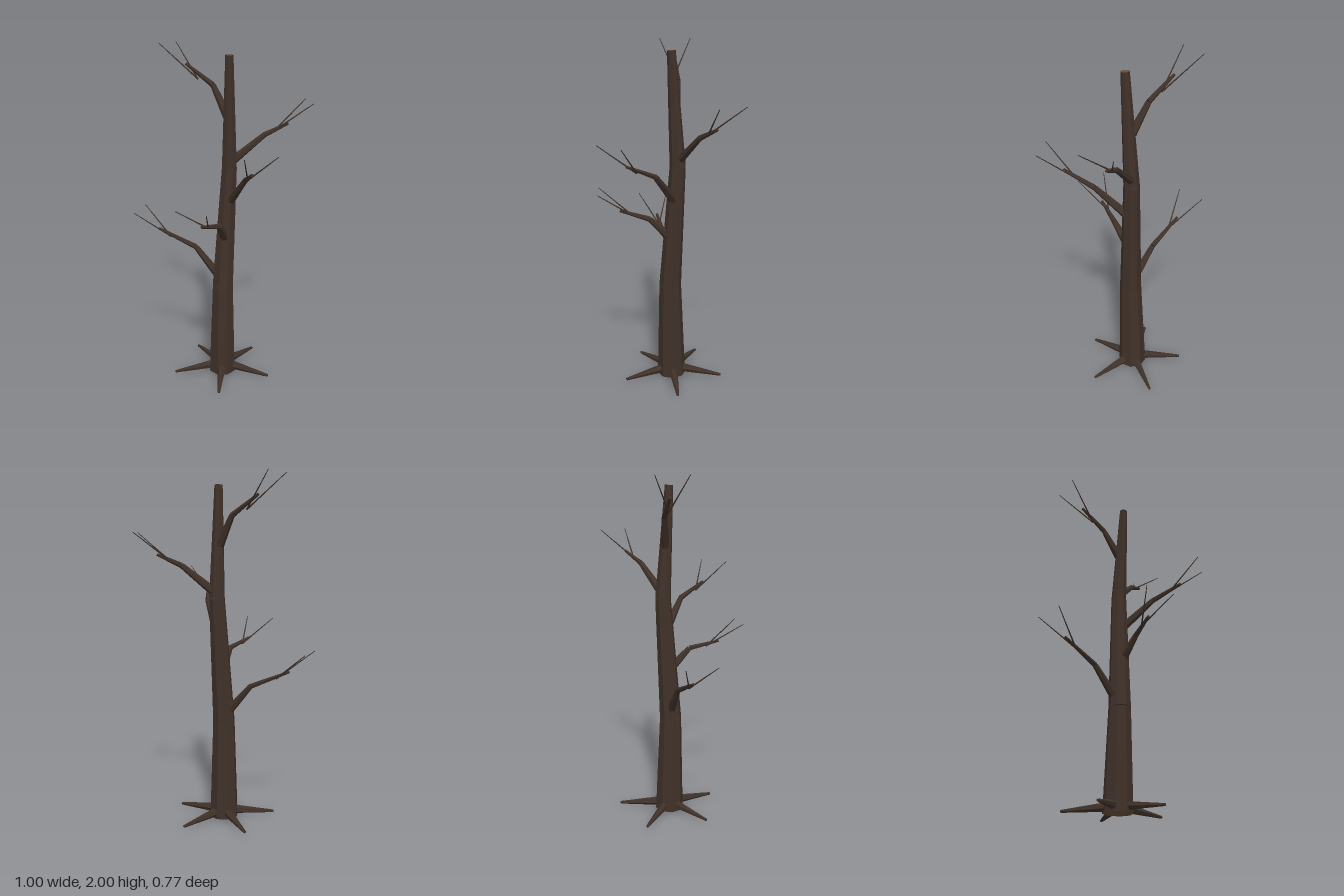
import * as THREE from 'three';

const bark = new THREE.MeshStandardMaterial({ color: 0x3f3129, flatShading: true });
bark.name = 'bark';
const cutWood = new THREE.MeshStandardMaterial({ color: 0x6b5238, flatShading: true });
cutWood.name = 'cutWood';

// Tapered limb running from point a to point b
function limb(name, a, b, ra, rb, sides, top = bark, bottom = bark) {
  const from = new THREE.Vector3(...a);
  const dir = new THREE.Vector3(...b).sub(from);
  const length = dir.length();
  const geo = new THREE.CylinderGeometry(rb, ra, length, sides);
  geo.translate(0, length / 2, 0);
  const mesh = new THREE.Mesh(geo, [bark, top, bottom]);
  mesh.quaternion.setFromUnitVectors(new THREE.Vector3(0, 1, 0), dir.normalize());
  mesh.position.copy(from);
  mesh.name = name;
  return mesh;
}

// Two-part crooked branch with a pair of twigs sprouting before its tip
function branch({ start, elbow, tip, fork, twigs }) {
  const group = new THREE.Group();
  group.name = 'branch';
  group.add(limb('lowerBranch', start, elbow, 0.026, 0.016, 6));
  group.add(limb('upperBranch', elbow, tip, 0.016, 0.008, 6));
  for (const end of twigs) group.add(limb('twig', fork, end, 0.005, 0.002, 5));
  return group;
}

export function createModel() {
  const tree = new THREE.Group();
  tree.name = 'bareTree';

  // Trunk: three slightly leaning sections
  const p = [[0.028, 0.005, -0.046], [0.034, 0.59, -0.036], [0.056, 1.31, -0.074], [0.067, 1.948, -0.035]];
  const r = [0.084, 0.065, 0.046, 0.024];
  for (let i = 0; i < 3; i++) {
    tree.add(limb('trunkSection', p[i], p[i + 1], r[i], r[i + 1], 8,
      i === 2 ? cutWood : bark, i === 0 ? cutWood : bark));
  }

  // Five roots spread evenly around the foot
  for (let i = 0; i < 5; i++) {
    const angle = (i * Math.PI * 2) / 5;
    const at = (d, y) => [0.028 + Math.cos(angle) * d, y, -0.05 + Math.sin(angle) * d];
    tree.add(limb('root', at(0.05, 0.042), at(0.302, 0.018), 0.027, 0.008, 6));
  }

  // Branches from lowest to highest
  const branches = [
    { start: [0.0, 0.65, -0.038], elbow: [-0.14, 0.81, -0.03], tip: [-0.367, 0.91, 0.008],
      fork: [-0.29, 0.865, 0.0], twigs: [[-0.498, 1.025, -0.067], [-0.476, 1.025, 0.115]] },
    { start: [0.05, 0.9, -0.02], elbow: [0.062, 1.005, 0.085], tip: [0.025, 1.05, 0.255],
      fork: [0.032, 1.02, 0.18], twigs: [[-0.075, 1.163, 0.373], [0.108, 1.163, 0.381]] },
    { start: [0.075, 1.12, -0.05], elbow: [0.205, 1.285, 0.065], tip: [0.302, 1.365, 0.226],
      fork: [0.258, 1.32, 0.17], twigs: [[0.314, 1.483, 0.379], [0.453, 1.483, 0.257]] },
    { start: [0.075, 1.355, -0.088], elbow: [0.23, 1.498, -0.172], tip: [0.347, 1.56, -0.246],
      fork: [0.285, 1.525, -0.208], twigs: [[0.406, 1.683, -0.386], [0.497, 1.683, -0.227]] },
    { start: [0.045, 1.61, -0.063], elbow: [-0.05, 1.775, -0.085], tip: [-0.217, 1.885, -0.088],
      fork: [-0.14, 1.805, -0.08], twigs: [[-0.328, 1.999, -0.19], [-0.345, 1.999, -0.01]] },
  ];
  for (const spec of branches) tree.add(branch(spec));

  return tree;
}
